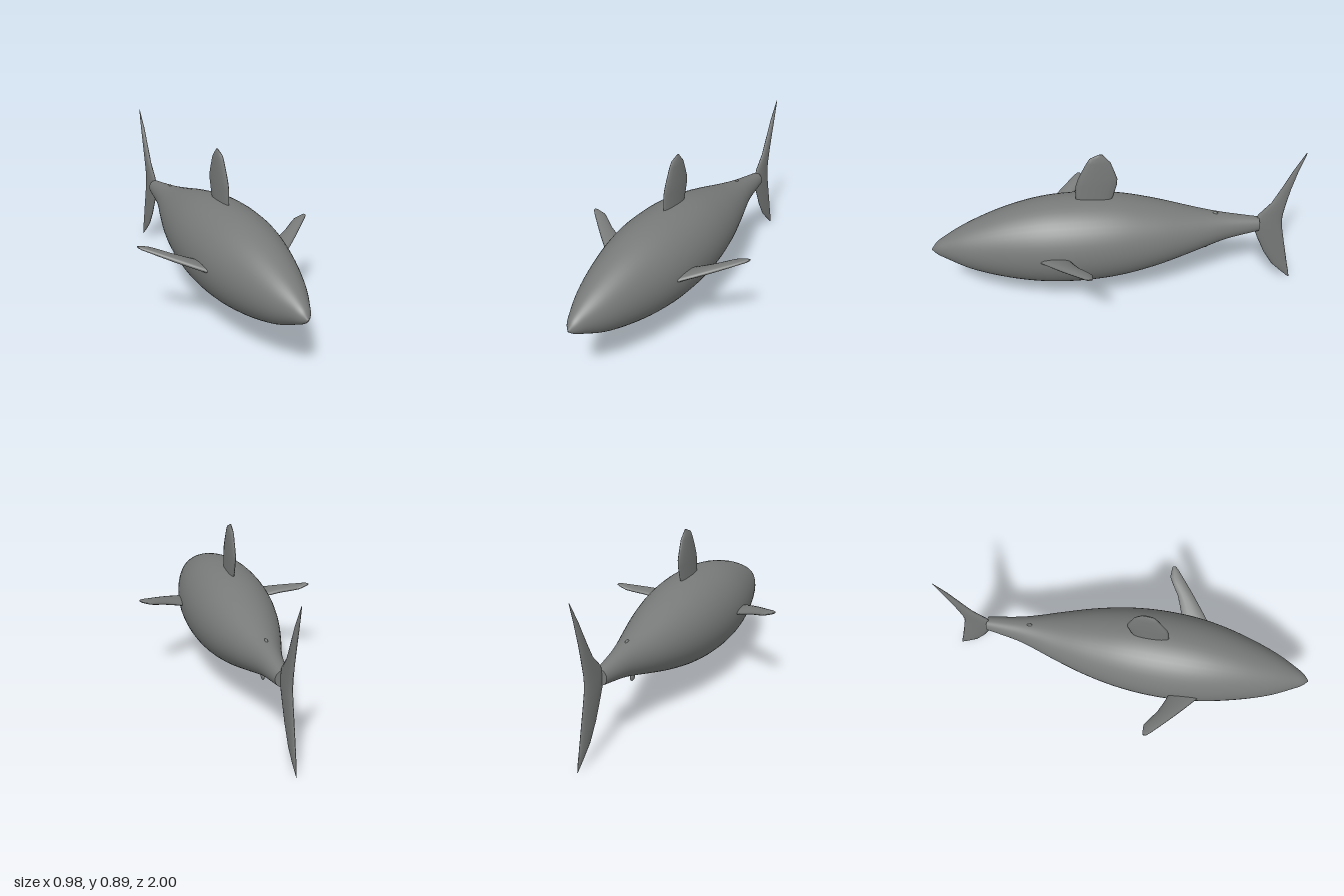
import * as THREE from 'three';

// Skin a list of equal-sized rings (each counter-clockwise about the direction of travel), with end caps
function loft(rings) {
  const n = rings[0].length;
  const points = rings.flat();
  const index = [];
  for (let i = 0; i < rings.length - 1; i++) {
    for (let j = 0; j < n; j++) {
      const a = i * n + j, b = i * n + (j + 1) % n;
      index.push(a, b, a + n, b, b + n, a + n);
    }
  }
  // caps have their own corners so their rims stay sharp
  [rings[0], rings[rings.length - 1]].forEach((ring, end) => {
    const start = points.length;
    points.push(...ring);
    for (let j = 1; j < n - 1; j++) {
      if (end) index.push(start, start + j, start + j + 1);
      else index.push(start, start + j + 1, start + j);
    }
  });
  const geometry = new THREE.BufferGeometry().setFromPoints(points);
  geometry.setIndex(index);
  geometry.computeVertexNormals();
  return geometry;
}

// Ring of n points placed by a function of cosine and sine
function ring(n, place) {
  return Array.from({ length: n }, (_, j) => {
    const t = (j / n) * Math.PI * 2;
    return new THREE.Vector3(...place(Math.cos(t), Math.sin(t)));
  });
}

// Upright fin sections: [y, leading z, trailing z, half thickness]
function uprightFin(sections) {
  return loft(sections.map(([y, lead, trail, half]) =>
    ring(14, (c, s) => [half * s, y, (lead + trail) / 2 + c * (lead - trail) / 2])));
}

export function createModel() {
  const group = new THREE.Group();
  const grey = new THREE.MeshStandardMaterial({ color: 0x777a79 });
  grey.name = 'slate grey';
  const add = (name, geometry) => {
    const mesh = new THREE.Mesh(geometry, grey);
    mesh.name = name;
    group.add(mesh);
    return mesh;
  };

  // Body stations, tail to nose: [z, top y, bottom y, half width]
  const stations = [
    [-0.78, 0.44, 0.357, 0.036], [-0.6, 0.474, 0.322, 0.066], [-0.5, 0.495, 0.292, 0.094],
    [-0.4, 0.52, 0.26, 0.127], [-0.2, 0.575, 0.2, 0.185], [0, 0.617, 0.158, 0.222],
    [0.2, 0.631, 0.141, 0.234], [0.4, 0.62, 0.146, 0.221], [0.6, 0.575, 0.177, 0.18],
    [0.8, 0.497, 0.237, 0.117], [0.92, 0.432, 0.297, 0.06], [0.97, 0.397, 0.325, 0.032],
    [1, 0.359, 0.351, 0.003],
  ];
  const heights = new THREE.CatmullRomCurve3(stations.map(([z, top, low]) => new THREE.Vector3(top, low, z)));
  const widths = new THREE.CatmullRomCurve3(stations.map(([z, top, low, w]) => new THREE.Vector3(w, 0, z)));
  const steps = 60;
  const bodyRings = [];
  for (let i = 0; i <= steps; i++) {
    const h = heights.getPoint(i / steps), w = widths.getPoint(i / steps).x;
    bodyRings.push(ring(48, (c, s) => [w * c, (h.x + h.y) / 2 + s * (h.x - h.y) / 2, h.z]));
  }
  add('body', loft(bodyRings));

  // Back fin
  add('dorsalFin', uprightFin([
    [0.58, 0.215, 0.05, 0.016], [0.635, 0.22, 0.022, 0.016], [0.71, 0.218, 0.001, 0.017],
    [0.745, 0.208, 0, 0.017], [0.79, 0.188, 0.015, 0.016], [0.845, 0.16, 0.035, 0.014],
    [0.872, 0.143, 0.058, 0.011], [0.895, 0.092, 0.078, 0.003],
  ]));

  // Crescent tail
  add('tailFin', uprightFin([
    [0.003, -0.994, -1, 0.001], [0.05, -0.945, -0.99, 0.007], [0.11, -0.885, -0.975, 0.011],
    [0.2, -0.83, -0.955, 0.013], [0.3, -0.785, -0.932, 0.014], [0.37, -0.757, -0.917, 0.015],
    [0.41, -0.755, -0.912, 0.015], [0.46, -0.775, -0.914, 0.015], [0.53, -0.838, -0.924, 0.014],
    [0.62, -0.885, -0.94, 0.013], [0.73, -0.937, -0.966, 0.01], [0.84, -0.995, -1, 0.001],
  ]));

  // Side fins, swept back and raised: [x, leading z, trailing z, half thickness]
  const sideSections = [
    [0.17, 0.455, 0.29, 0.016], [0.22, 0.42, 0.268, 0.017], [0.28, 0.372, 0.247, 0.017],
    [0.34, 0.322, 0.222, 0.016], [0.4, 0.27, 0.182, 0.014], [0.43, 0.243, 0.165, 0.012],
    [0.47, 0.207, 0.167, 0.009], [0.487, 0.188, 0.17, 0.004],
  ];
  for (const side of [1, -1]) {
    const rings = sideSections.map(([x, lead, trail, half]) => {
      const points = ring(14, (c, s) => [
        side * (x - half * c * 0.3), 0.39 + (x - 0.22) * 0.33 + half * c,
        (lead + trail) / 2 + s * (lead - trail) / 2,
      ]);
      return side > 0 ? points : points.reverse();
    });
    add(side > 0 ? 'leftPectoralFin' : 'rightPectoralFin', loft(rings));
  }

  // Tiny finlets above and below the tail stem
  const finlet = (name, y, z, ry, rz) => {
    const geometry = new THREE.SphereGeometry(1, 12, 8);
    geometry.scale(0.009, ry, rz);
    add(name, geometry).position.set(0, y, z);
  };
  finlet('rearDorsalFinlet', 0.478, -0.533, 0.018, 0.018);
  finlet('rearBellyFinlet', 0.276, -0.49, 0.02, 0.02);

  return group;
}
